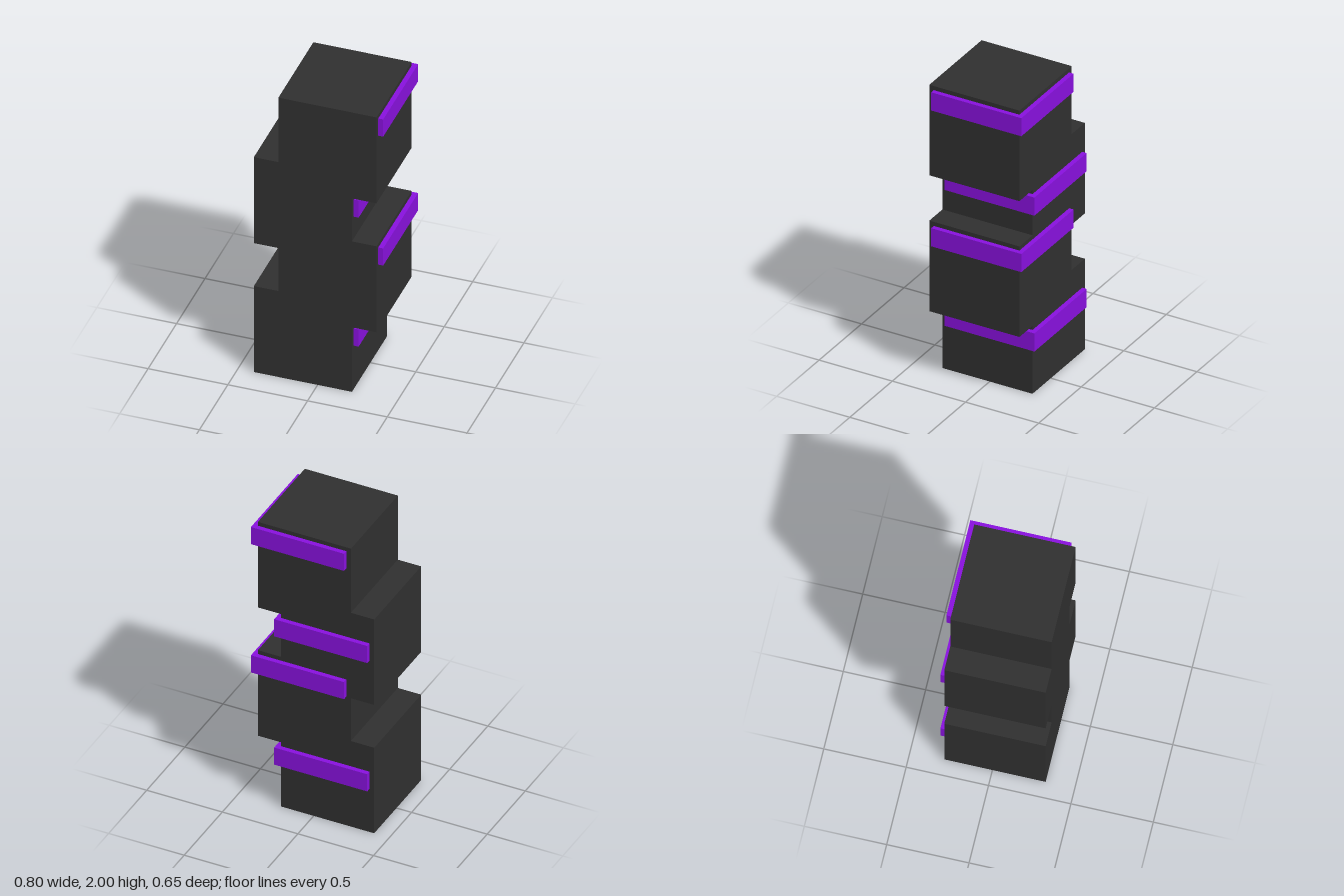
import * as THREE from 'three';

const S = 8 / 13;         // block edge
const STEP = S * 0.75;    // vertical rise from block to block
const SHIFT = S * 0.25;   // sideways stagger
const OUT = S * 0.05;     // how far the bands stand proud
const X0 = -0.4, Z0 = -S / 2 + OUT / 2;

export function createModel() {
  const model = new THREE.Group();
  const dark = new THREE.MeshStandardMaterial({ color: 0x303030, flatShading: true });
  const purple = new THREE.MeshStandardMaterial({ color: 0x8811dd, flatShading: true });

  // Staggered tower: the merged outline of four overlapping blocks
  const right = [], left = [];
  for (let i = 0; i < 4; i++) {
    const x = X0 + (i % 2) * SHIFT;
    const base = i * STEP, top = base + S;
    // a block shifted outward keeps its full side, its neighbours are overlapped
    const above = i < 3 ? base + STEP : top;
    const below = i > 0 ? base - STEP + S : base;
    const odd = i % 2 === 1;
    right.push([x + S, odd ? base : below], [x + S, odd ? top : above]);
    left.push([x, odd ? below : base], [x, odd ? above : top]);
  }
  const outline = [...right, ...left.reverse()].map(([x, y]) => new THREE.Vector2(x, y));
  const body = new THREE.Mesh(
    new THREE.ExtrudeGeometry(new THREE.Shape(outline), { depth: S, bevelEnabled: false }), dark);
  body.name = 'tower';
  body.position.z = Z0;
  model.add(body);

  // One band per block, pushed out through its left side and back
  for (let i = 0; i < 4; i++) {
    const odd = i % 2;
    const band = new THREE.Mesh(new THREE.BoxGeometry(S, S * 0.2, S), purple);
    band.name = 'band' + (i + 1);
    band.position.set(
      X0 + odd * SHIFT + S / 2 + OUT,
      i * STEP + S * (odd ? 0.855 : 0.605),
      Z0 + S / 2 - OUT);
    model.add(band);
  }
  return model;
}
